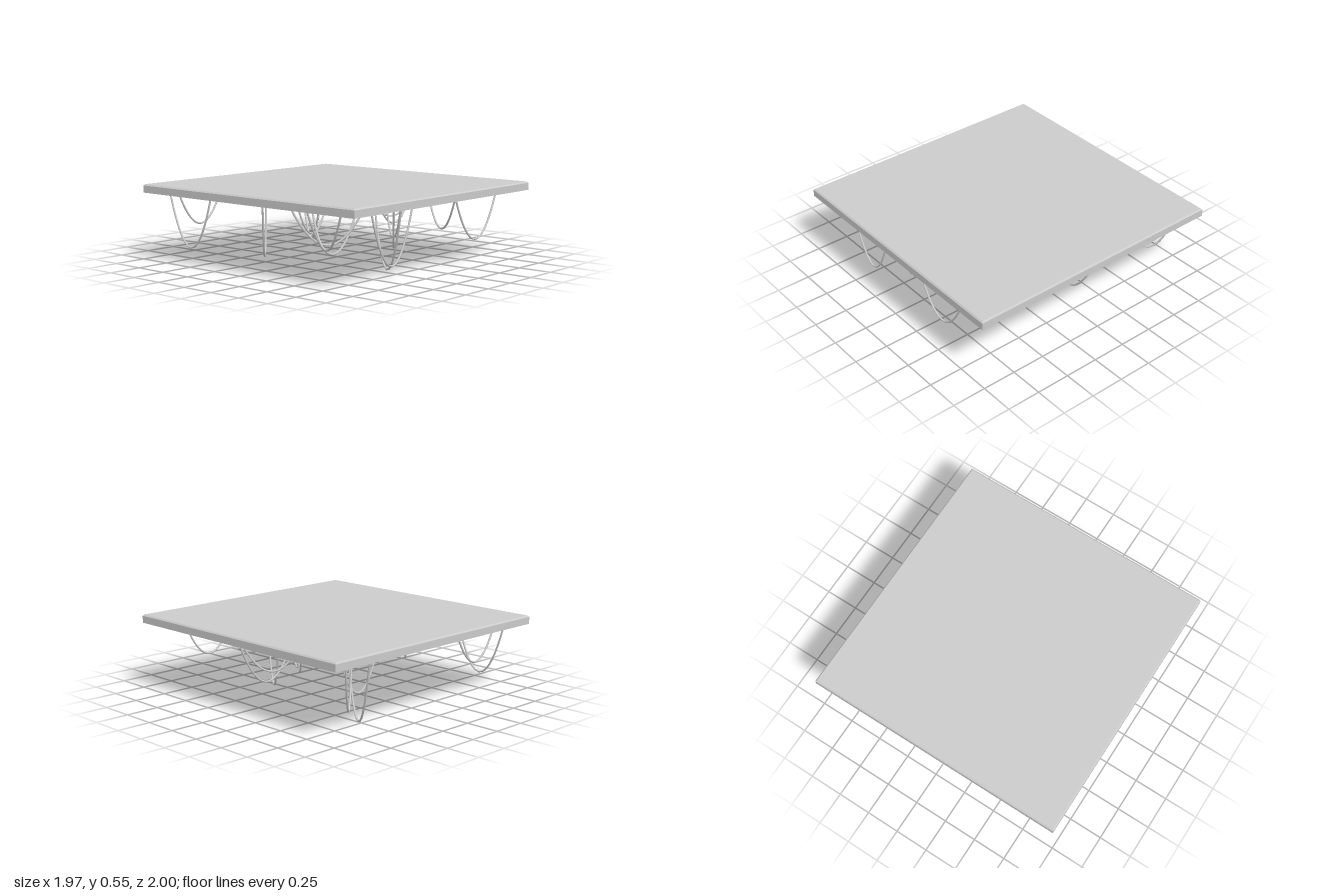
import * as THREE from 'three';

// Each cable: centre x, centre z, lowest y, half span in x, half span in z
const CABLES = [
  // two matching bundles of three long cables
  ...[[-0.18, 0.61], [0.5, -0.72]].flatMap(([x, z]) => [
    [x, z, 0.01, 0.12, -0.22],
    [x + 0.17, z - 0.08, 0.13, 0.16, -0.13],
    [x - 0.27, z + 0.26, 0.1, 0.22, 0],
  ]),
  // left-over bundle along the -x edge
  [-0.825, -0.68, 0.1, 0, 0.22],
  [-0.74, -0.02, 0.105, 0.15, -0.13],
  [-0.6, -0.82, 0.24, 0.22, 0],
  // shallow bundles
  [-0.7, 0.575, 0.18, 0.26, 0],
  [-0.88, 0.67, 0.24, 0.08, -0.2],
  [-0.72, 0.55, 0.24, 0.22, 0.14],
  [0.67, -0.01, 0.18, 0.26, 0],
  [0.48, -0.13, 0.24, 0.15, -0.18],
  [0.62, 0, 0.24, 0.2, 0.13],
  [0.5, 0.12, 0.1, 0.1, -0.17],
  [0.44, 0.915, 0.18, 0.25, 0],
  [0.36, 0.67, 0.24, 0.1, -0.2],
];

const CEILING = 0.536;

// Slack cable hanging between two points under the panel
function cableGeometry([x, z, low, hx, hz]) {
  const top = CEILING, bottom = low + 0.007;
  const k = 1.04; // spans are measured at the panel's lower edge
  const curve = new THREE.QuadraticBezierCurve3(
    new THREE.Vector3(x - hx * k, top, z - hz * k),
    new THREE.Vector3(x, 2 * bottom - top, z),
    new THREE.Vector3(x + hx * k, top, z + hz * k),
  );
  return new THREE.TubeGeometry(curve, 28, 0.007, 8);
}

export function createModel() {
  const model = new THREE.Group();
  const panelMaterial = new THREE.MeshStandardMaterial({ color: 0xcccccc, flatShading: true });
  const cableMaterial = new THREE.MeshStandardMaterial({ color: 0xcccccc });

  // Square tray panel, open below, with a small bevel round the top
  const profile = [
    [0, 0.535], [0.978, 0.535], [0.978, 0.495], [1, 0.495],
    [1, 0.547], [0.99, 0.557], [0, 0.557],
  ].map(([r, y]) => new THREE.Vector2(r * Math.SQRT2, y));
  const panelGeometry = new THREE.LatheGeometry(profile, 4, Math.PI / 4);
  panelGeometry.scale(0.987, 1, 1);
  const panel = new THREE.Mesh(panelGeometry, panelMaterial);
  panel.name = 'ceilingPanel';
  model.add(panel);

  // Hanging cables
  const cables = new THREE.Group();
  cables.name = 'hangingCables';
  CABLES.forEach((spec, i) => {
    const cable = new THREE.Mesh(cableGeometry(spec), cableMaterial);
    cable.name = `cable${i + 1}`;
    cables.add(cable);
  });
  model.add(cables);

  return model;
}
